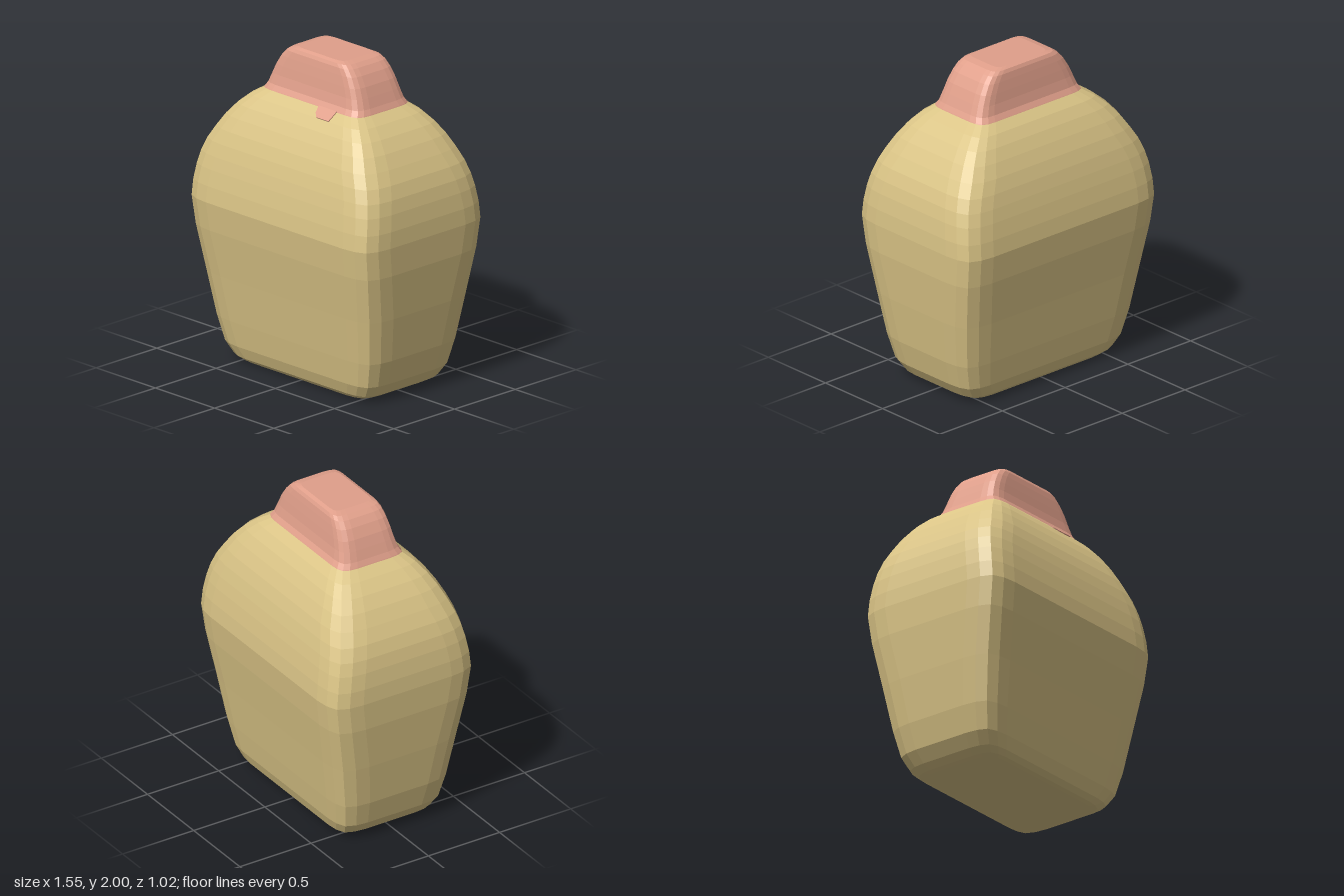
import * as THREE from 'three';

const bodyMat = new THREE.MeshStandardMaterial({ color: 0xdac486, flatShading: true });
bodyMat.name = 'sand yellow';
const lidMat = new THREE.MeshStandardMaterial({ color: 0xe09f8a, flatShading: true });
lidMat.name = 'dusty pink';

// Soft corner: inset from the half width and half depth
const corner = [[0, 0.2], [0.01, 0.11], [0.04, 0.04], [0.11, 0.01], [0.2, 0]];

// Horizontal section: a rectangle with soft corners
function section([y, hx, hz]) {
  const k = Math.min(1, hz / 0.42);
  const quarter = corner.map(([a, b]) => [hx - a * k, hz - b * k]);
  const flip = [...quarter].reverse();
  return [
    ...quarter.map(([x, z]) => [x, y, z]),
    ...flip.map(([x, z]) => [-x, y, z]),
    ...quarter.map(([x, z]) => [-x, y, -z]),
    ...flip.map(([x, z]) => [x, y, -z]),
  ];
}

// Skin over a stack of sections, bottom to top, closed at both ends
function loft(profile) {
  const n = corner.length * 4;
  const pos = profile.flatMap((p) => section(p).flat());
  const index = [];
  const last = (profile.length - 1) * n;
  for (let r = 0; r < last; r += n) {
    for (let i = 0; i < n; i++) {
      const j = (i + 1) % n;
      index.push(r + i, r + n + i, r + j, r + j, r + n + i, r + n + j);
    }
  }
  for (let i = 1; i < n - 1; i++) {
    index.push(0, i, i + 1, last, last + i + 1, last + i);
  }
  const g = new THREE.BufferGeometry();
  g.setAttribute('position', new THREE.Float32BufferAttribute(pos, 3));
  g.setIndex(index);
  g.computeVertexNormals();
  return g;
}

function addMesh(group, name, geometry, material) {
  const mesh = new THREE.Mesh(geometry, material);
  mesh.name = name;
  group.add(mesh);
  return mesh;
}

export function createModel() {
  const group = new THREE.Group();
  group.name = 'jar';

  // Body: height, half width, half depth
  addMesh(group, 'body', loft([
    [0, 0.5, 0.27], [0.008, 0.535, 0.3], [0.035, 0.585, 0.33], [0.11, 0.637, 0.36],
    [0.27, 0.682, 0.39], [0.55, 0.728, 0.436], [0.84, 0.766, 0.487],
    [1.02, 0.777, 0.51], [1.12, 0.773, 0.5], [1.22, 0.76, 0.483], [1.3, 0.742, 0.465],
    [1.38, 0.712, 0.443], [1.46, 0.667, 0.414], [1.54, 0.615, 0.375],
    [1.61, 0.556, 0.333], [1.67, 0.488, 0.285], [1.72, 0.41, 0.225],
  ]), bodyMat);

  // Lid
  addMesh(group, 'lid', loft([
    [1.705, 0.422, 0.235], [1.72, 0.415, 0.227], [1.75, 0.398, 0.208], [1.81, 0.374, 0.194],
    [1.87, 0.348, 0.185], [1.93, 0.312, 0.175], [1.97, 0.276, 0.167],
    [1.99, 0.245, 0.157], [2, 0.2, 0.135],
  ]), lidMat);

  // Small tab on the front shoulder, lying along its slope
  const tab = new THREE.Shape([
    [0.09, 0.078], [0.1, 0.03], [0.13, 0], [0.23, 0], [0.235, 0.03], [0.24, 0.078],
  ].map(([x, y]) => new THREE.Vector2(x, y)).reverse());
  const plate = addMesh(group, 'frontTab',
    new THREE.ExtrudeGeometry(tab, { depth: 0.006, bevelEnabled: false }), lidMat);
  plate.position.set(0, 1.67, 0.285);
  plate.rotation.x = -Math.atan2(0.06, 0.05);

  return group;
}
